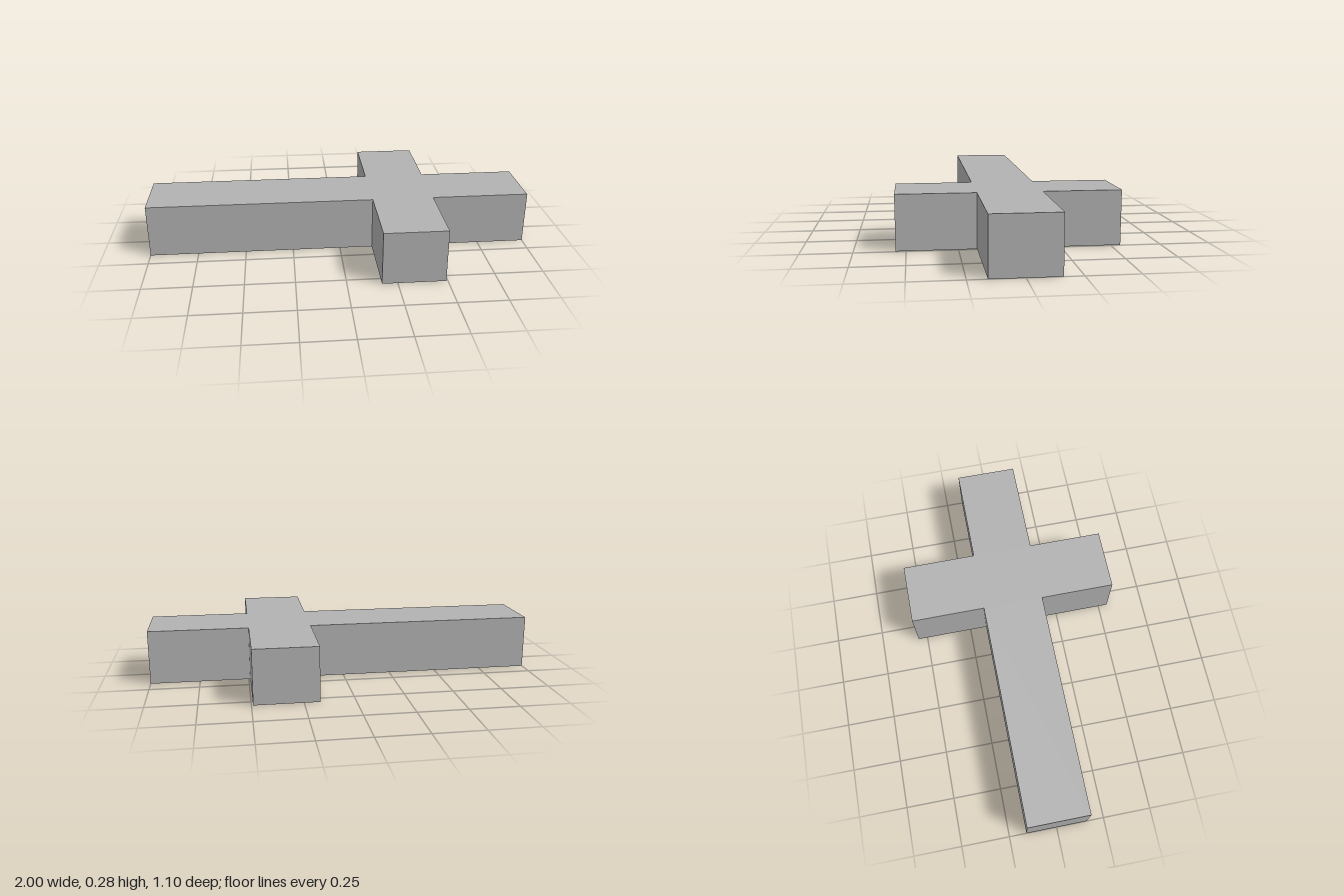
import * as THREE from 'three';

export function createModel() {
  const group = new THREE.Group();
  const grey = new THREE.MeshStandardMaterial({ color: 0xb2b2b2 });
  grey.name = 'grey';

  const height = 0.276;
  const half = 0.16; // half width of the long beam
  const reach = 0.55; // how far the arms extend to each side
  const armBack = 0.172, armFront = 0.492; // x range of the crossing arms

  // Half of the outline, mirrored to give the whole cross
  const side = [[-1, half], [armBack, half], [armBack, reach], [armFront, reach], [armFront, half], [1, half]];
  const mirrored = side.map(([x, z]) => [x, -z]);
  const outline = [...mirrored, ...side.reverse()].map(([x, z]) => new THREE.Vector2(x, z));

  // Extruded upwards from the ground
  const geometry = new THREE.ExtrudeGeometry(new THREE.Shape(outline), { depth: height, bevelEnabled: false });
  geometry.rotateX(-Math.PI / 2);

  const cross = new THREE.Mesh(geometry, grey);
  cross.name = 'crossBlock';
  group.add(cross);
  return group;
}
